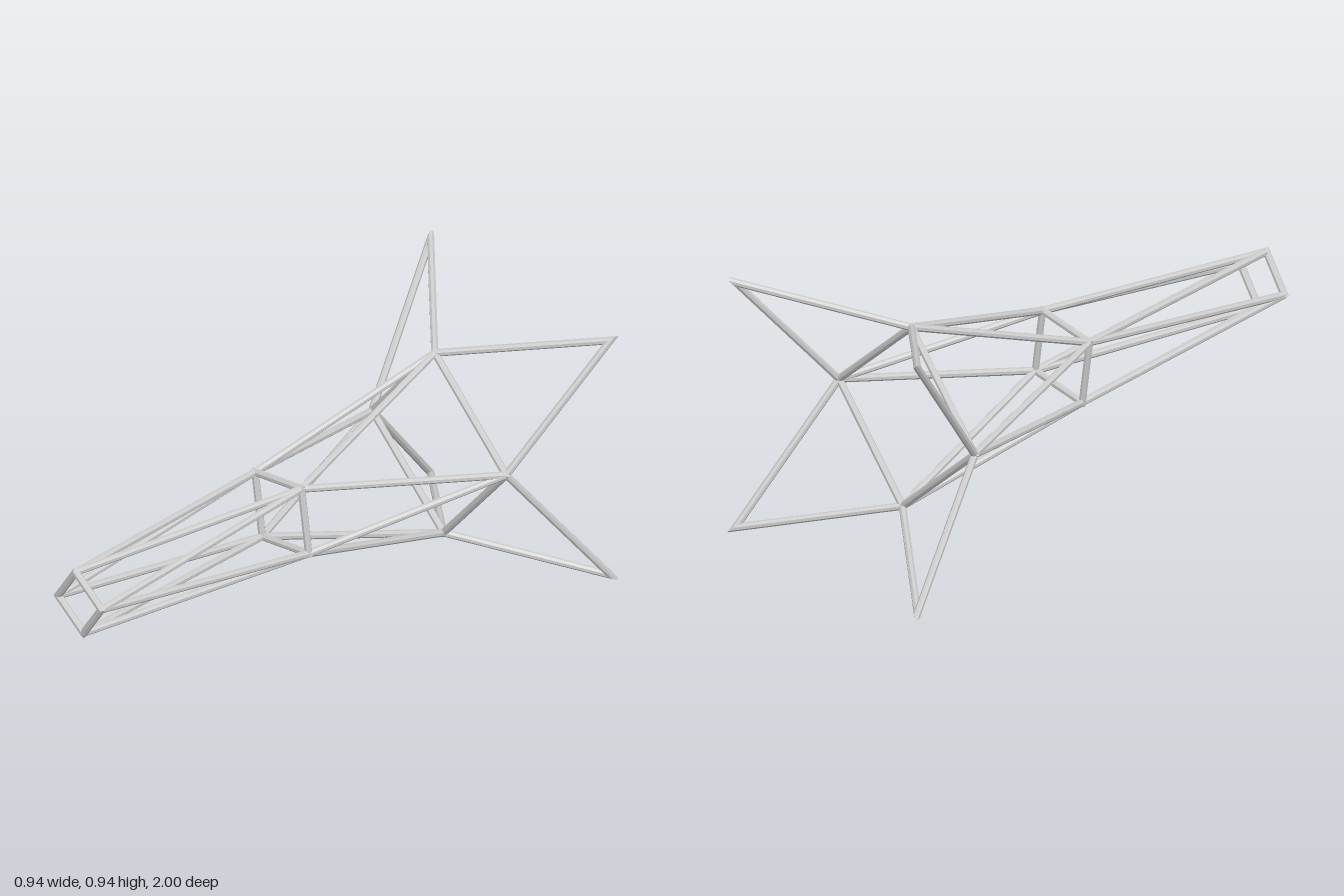
import * as THREE from 'three';

const RADIUS = 0.013;
const SIDES = 8;
const AXIS_Y = 0.47;

// Four nodes around the long axis, each a quarter turn clockwise from the last.
function ringNodes(x, y, z) {
  const nodes = [];
  for (let k = 0; k < 4; k++) {
    nodes.push(new THREE.Vector3(x, AXIS_Y + y, z));
    [x, y] = [y, -x];
  }
  return nodes;
}

// Faceted round bar from a to b; each end is cut by the plane with the given normal.
function barGeometry(a, b, cutA, cutB) {
  const d = b.clone().sub(a).normalize();
  const ref = Math.abs(d.y) > 0.9 ? new THREE.Vector3(1, 0, 0) : new THREE.Vector3(0, 1, 0);
  const u = ref.cross(d).normalize();
  const v = d.clone().cross(u);
  const endRing = (centre, cut) => {
    const n = cut || d;
    return Array.from({ length: SIDES }, (_, i) => {
      const t = ((i + 0.5) / SIDES) * Math.PI * 2;
      const off = u.clone().multiplyScalar(Math.cos(t) * RADIUS).addScaledVector(v, Math.sin(t) * RADIUS);
      off.addScaledVector(d, -off.dot(n) / d.dot(n));
      return off.add(centre);
    });
  };
  const ra = endRing(a, cutA);
  const rb = endRing(b, cutB);
  const pos = [];
  const tri = (...pts) => pts.forEach((p) => pos.push(p.x, p.y, p.z));
  for (let i = 0; i < SIDES; i++) {
    const j = (i + 1) % SIDES;
    tri(ra[i], ra[j], rb[j]);
    tri(ra[i], rb[j], rb[i]);
    tri(a, ra[j], ra[i]);
    tri(b, rb[i], rb[j]);
  }
  const g = new THREE.BufferGeometry();
  g.setAttribute('position', new THREE.Float32BufferAttribute(pos, 3));
  g.computeVertexNormals();
  return g;
}

export function createModel() {
  const model = new THREE.Group();
  model.name = 'latticeFrame';
  const metal = new THREE.MeshStandardMaterial({ color: 0xcccccc });
  metal.name = 'light grey metal';

  function assembly(name) {
    const group = new THREE.Group();
    group.name = name;
    model.add(group);
    return (a, b, cutA, cutB) => {
      const mesh = new THREE.Mesh(barGeometry(a, b, cutA, cutB), metal);
      mesh.name = name + 'Bar';
      group.add(mesh);
    };
  }

  // Closed loop of bars with mitred corners
  function loop(name, pts) {
    const add = assembly(name);
    const n = pts.length;
    const dir = (i) => pts[(i + 1) % n].clone().sub(pts[i % n]).normalize();
    const miter = (i) => dir(i + n - 1).add(dir(i)).normalize();
    pts.forEach((p, i) => add(p, pts[(i + 1) % n], miter(i), miter((i + 1) % n)));
  }

  // Bars zigzagging between two rings that are turned against each other
  function zigzag(name, inner, outer) {
    const add = assembly(name);
    for (let k = 0; k < 4; k++) {
      add(inner[k], outer[k]);
      add(outer[k], inner[(k + 1) % 4]);
    }
  }

  const front = ringNodes(-0.02, 0.109, 0.987);
  const middle = ringNodes(0.099, 0.135, 0.085);
  const rear = ringNodes(-0.022, 0.338, -0.617);
  const tips = ringNodes(0.453, 0.453, -0.98);

  // Square frames
  loop('frontFrame', front);
  loop('middleFrame', middle);
  loop('rearFrame', rear);

  // Long struts joining the frames
  zigzag('frontStruts', front, middle);
  zigzag('rearStruts', rear, middle);

  // Four pointed fins as one star-shaped loop
  loop('tailFins', rear.flatMap((p, k) => [p, tips[k]]));

  return model;
}
